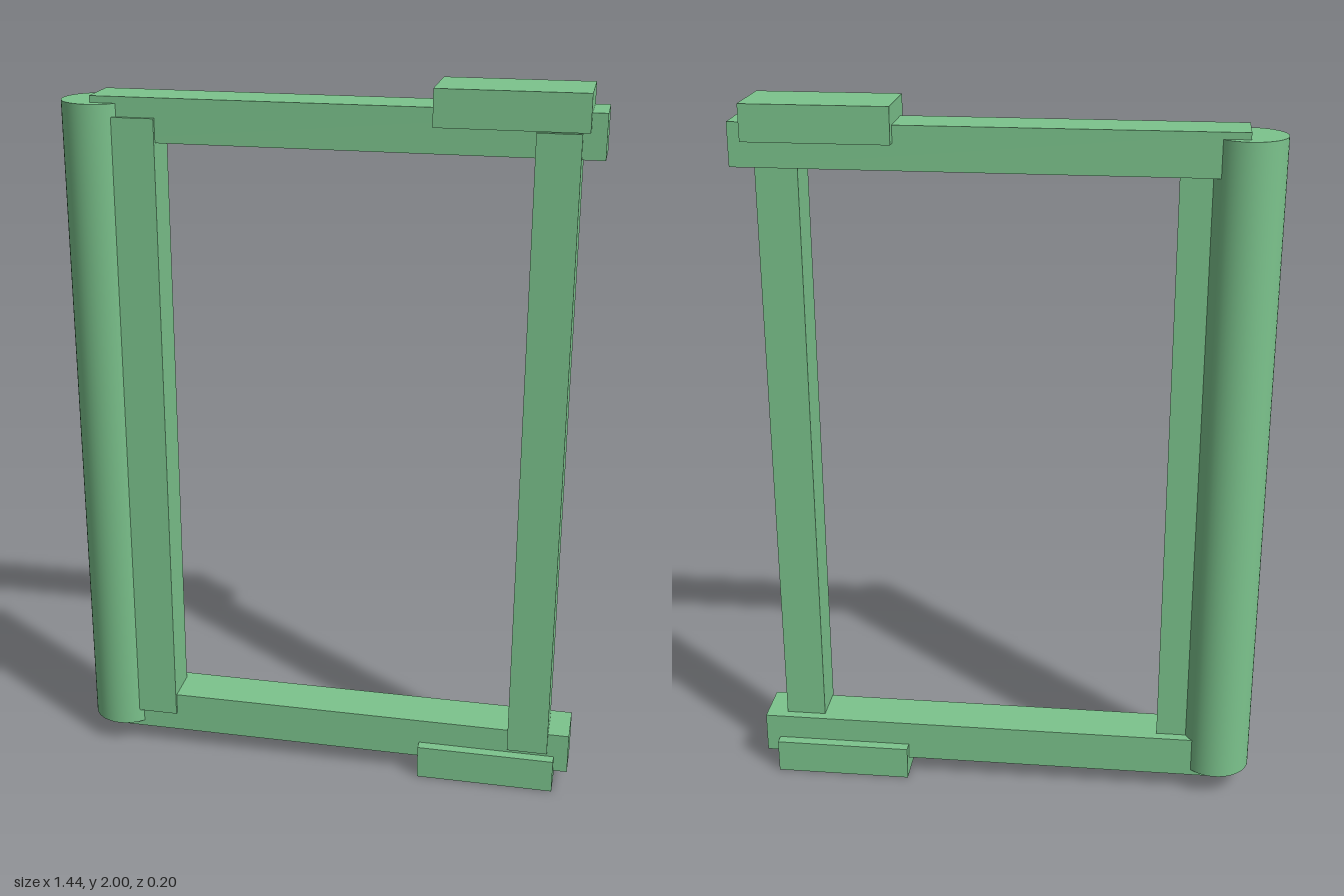
import * as THREE from 'three';

export function createModel() {
  const group = new THREE.Group();
  const green = new THREE.MeshStandardMaterial({ color: 0x7cc48d });
  green.name = 'soft green';

  // Box given by its lower and upper limits on each axis
  const addBox = (name, [x0, x1], [y0, y1], [z0, z1]) => {
    const mesh = new THREE.Mesh(new THREE.BoxGeometry(x1 - x0, y1 - y0, z1 - z0), green);
    mesh.position.set((x0 + x1) / 2, (y0 + y1) / 2, (z0 + z1) / 2);
    mesh.name = name;
    group.add(mesh);
  };

  // Round hinge post
  const post = new THREE.Mesh(new THREE.CylinderGeometry(0.098, 0.098, 1.86, 48), green);
  post.position.set(-0.625, 1, 0);
  post.name = 'roundPost';
  group.add(post);

  // Upright stiles, set slightly forward of the rails
  addBox('rightStile', [-0.57, -0.45], [0.11, 1.895], [-0.04, 0.078]);
  addBox('leftStile', [0.545, 0.66], [0.11, 1.895], [-0.04, 0.078]);

  // Rails and end blocks, mirrored about mid height
  const ranges = (a, b) => [['bottom', [a, b]], ['top', [2 - b, 2 - a]]];
  for (const [side, y] of ranges(0.052, 0.17)) addBox(side + 'Rail', [-0.625, 0.72], y, [-0.068, 0.068]);
  for (const [side, y] of ranges(0, 0.098)) addBox(side + 'Block', [0.287, 0.68], y, [-0.098, 0.098]);

  return group;
}
